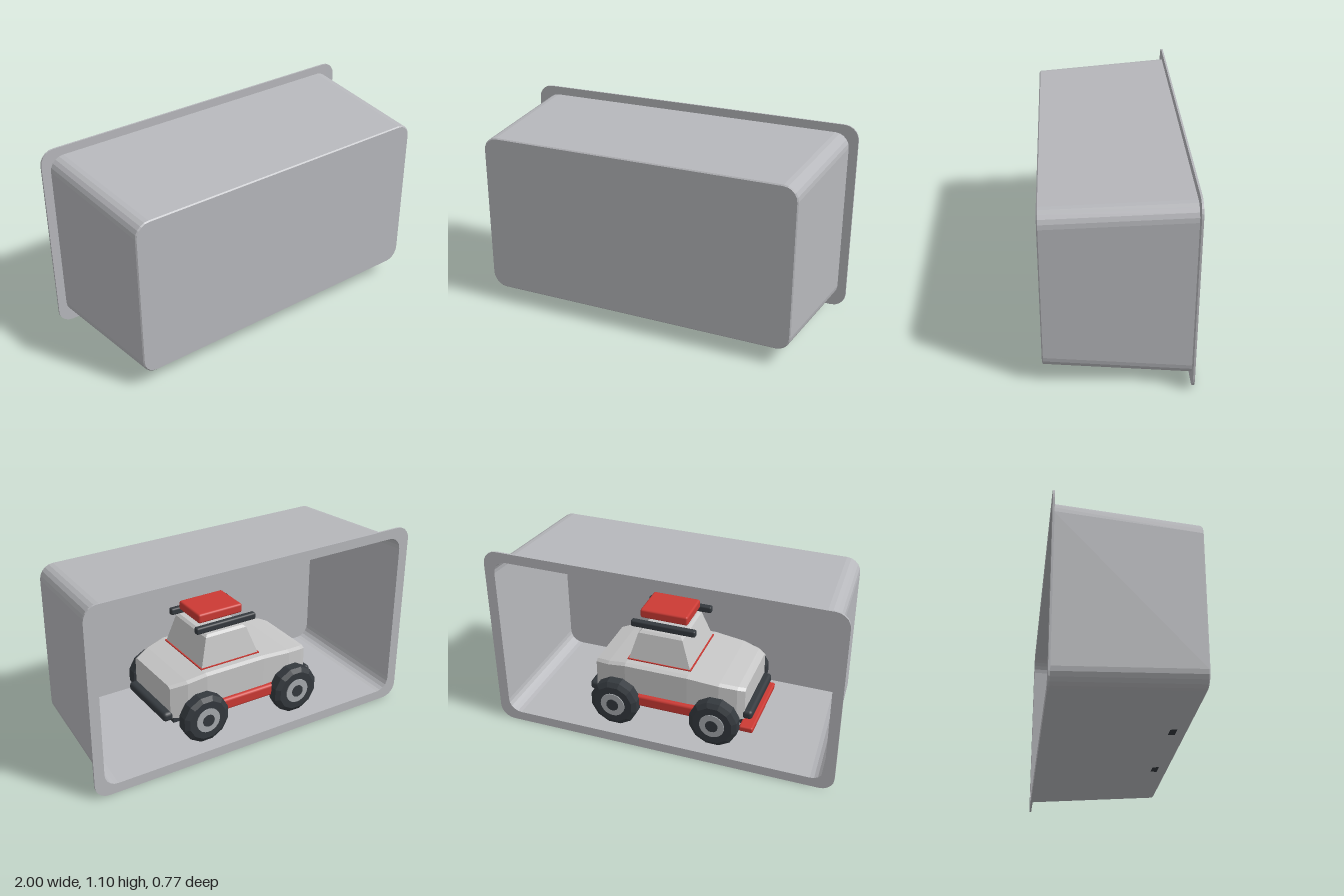
import * as THREE from 'three';
import { RoundedBoxGeometry } from 'three/addons/geometries/RoundedBoxGeometry.js';

const mat = (name, color) => {
  const m = new THREE.MeshStandardMaterial({ color });
  m.name = name;
  return m;
};

// Faceted copy of a geometry
function flat(geo) {
  const g = geo.index ? geo.toNonIndexed() : geo;
  g.computeVertexNormals();
  return g;
}

// Skin over matching rings; flip turns the faces inward
function loft(rings, capStart, capEnd, flip = false) {
  const pos = [];
  const tri = (a, b, c) => (flip ? [a, c, b] : [a, b, c]).forEach(p => pos.push(p.x, p.y, p.z));
  const n = rings[0].length;
  for (let i = 0; i < rings.length - 1; i++) {
    for (let j = 0; j < n; j++) {
      const k = (j + 1) % n;
      tri(rings[i][j], rings[i][k], rings[i + 1][k]);
      tri(rings[i][j], rings[i + 1][k], rings[i + 1][j]);
    }
  }
  const cap = (ring, reverse) => {
    const c = new THREE.Vector3();
    ring.forEach(p => c.addScaledVector(p, 1 / n));
    ring.forEach((p, j) => {
      const q = ring[(j + 1) % n];
      if (reverse) tri(c, q, p); else tri(c, p, q);
    });
  };
  if (capStart) cap(rings[0], true);
  if (capEnd) cap(rings[rings.length - 1], false);
  const g = new THREE.BufferGeometry();
  g.setAttribute('position', new THREE.Float32BufferAttribute(pos, 3));
  g.computeVertexNormals();
  return g;
}

// Rounded rectangle around (0, 0.55), counter-clockwise
function roundRect(hx, hy, r, z = 0, steps = 5) {
  const pts = [];
  [[1, 1], [-1, 1], [-1, -1], [1, -1]].forEach(([sx, sy], q) => {
    for (let i = 0; i <= steps; i++) {
      const a = (q + i / steps) * Math.PI / 2;
      pts.push(new THREE.Vector3(sx * (hx - r) + r * Math.cos(a), 0.55 + sy * (hy - r) + r * Math.sin(a), z));
    }
  });
  return pts;
}

export function createModel() {
  const model = new THREE.Group();
  model.name = 'toyCarInTray';
  const tray = mat('trayGrey', 0xb7b8bc);
  const paint = mat('bodyPaint', 0xc6c6c6);
  const red = mat('red', 0xcc3a34);
  const dark = mat('darkRubber', 0x34393e);
  const hub = mat('hubGrey', 0xa6aaae);

  const add = (parent, name, geo, material, x = 0, y = 0, z = 0) => {
    const m = new THREE.Mesh(geo, material);
    m.name = name;
    m.position.set(x, y, z);
    parent.add(m);
    return m;
  };

  // Tapered tray, open at the back
  const box = new THREE.Group();
  box.name = 'tray';
  model.add(box);
  add(box, 'trayOutside', loft([
    roundRect(0.95, 0.502, 0.08, -0.378),
    roundRect(0.906, 0.458, 0.08, 0.378),
    roundRect(0.9, 0.452, 0.075, 0.384)
  ], false, true), tray);
  add(box, 'trayInside', loft([
    roundRect(0.942, 0.494, 0.075, -0.384),
    roundRect(0.898, 0.45, 0.075, 0.374)
  ], false, true, true), tray);

  // Flat rim around the opening
  const rim = new THREE.Shape(roundRect(1, 0.55, 0.08));
  rim.holes.push(new THREE.Path(roundRect(0.942, 0.494, 0.075).reverse()));
  add(box, 'rim', new THREE.ExtrudeGeometry(rim, { depth: 0.01, bevelEnabled: false }), tray, 0, 0, -0.385);

  const car = new THREE.Group();
  car.name = 'car';
  model.add(car);

  // Lower body: sections along x as [x, half width, top]
  const section = ([x, w, top]) => [
    [0.21, -w], [top - 0.012, -w], [top, -w + 0.02],
    [top, w - 0.02], [top - 0.012, w], [0.21, w]
  ].map(([y, z]) => new THREE.Vector3(x, y, z));
  add(car, 'body', loft([
    [-0.44, 0.2, 0.405], [-0.4, 0.225, 0.42], [-0.3, 0.25, 0.437], [-0.12, 0.26, 0.455],
    [0.25, 0.26, 0.455], [0.36, 0.24, 0.43], [0.45, 0.2, 0.405]
  ].map(section), true, true), paint);
  add(car, 'underbody', new THREE.BoxGeometry(0.84, 0.07, 0.36), dark, 0, 0.195, 0);

  // Cabin with a thin red line at its foot
  const slab = (x0, x1, w, y) =>
    [[x0, -w], [x0, w], [x1, w], [x1, -w]].map(([x, z]) => new THREE.Vector3(x, y, z));
  add(car, 'cabin', loft([
    slab(-0.12, 0.25, 0.2, 0.45), slab(-0.06, 0.2, 0.165, 0.62), slab(-0.045, 0.185, 0.15, 0.632)
  ], false, true), paint);
  add(car, 'cabinTrim', new THREE.BoxGeometry(0.378, 0.008, 0.408), red, 0.065, 0.457, 0);

  // Roof bars and roof box
  for (const s of [-1, 1]) {
    add(car, 'roofBar', new RoundedBoxGeometry(0.38, 0.04, 0.035, 2, 0.01), dark, 0.06, 0.665, s * 0.14);
  }
  add(car, 'roofBox', new RoundedBoxGeometry(0.28, 0.055, 0.22, 2, 0.012), red, 0.07, 0.71, 0);

  // Side steps
  for (const s of [-1, 1]) {
    add(car, 'sideStep', new RoundedBoxGeometry(0.72, 0.07, 0.08, 2, 0.015), red, 0, 0.24, s * 0.245);
  }

  // Front and rear bumpers
  add(car, 'frontBumper', new RoundedBoxGeometry(0.06, 0.055, 0.42, 2, 0.02), dark, -0.455, 0.24, 0);
  add(car, 'frontPlate', new RoundedBoxGeometry(0.08, 0.035, 0.48, 2, 0.01), red, -0.46, 0.165, 0);
  add(car, 'rearBumper', new RoundedBoxGeometry(0.06, 0.055, 0.42, 2, 0.02), dark, 0.465, 0.225, 0);

  // Wheels: twelve-sided tyres with ring hubs
  const profile = [[0, -0.045], [0.115, -0.045], [0.142, -0.028], [0.142, 0.028], [0.115, 0.045], [0, 0.045]]
    .map(([r, y]) => new THREE.Vector2(r, y));
  const tyreGeo = flat(new THREE.LatheGeometry(profile, 12).rotateY(Math.PI / 12).rotateX(Math.PI / 2));
  const hubGeo = new THREE.CylinderGeometry(0.072, 0.072, 0.1, 24).rotateX(Math.PI / 2);
  const capGeo = new THREE.CylinderGeometry(0.036, 0.036, 0.108, 16).rotateX(Math.PI / 2);
  for (const sx of [-1, 1]) {
    for (const sz of [-1, 1]) {
      const wheel = new THREE.Group();
      wheel.name = 'wheel';
      wheel.position.set(sx * 0.295, 0.224, sz * 0.297);
      add(wheel, 'tyre', tyreGeo, dark);
      add(wheel, 'hub', hubGeo, hub);
      add(wheel, 'hubCap', capGeo, dark);
      car.add(wheel);
    }
  }
  return model;
}
